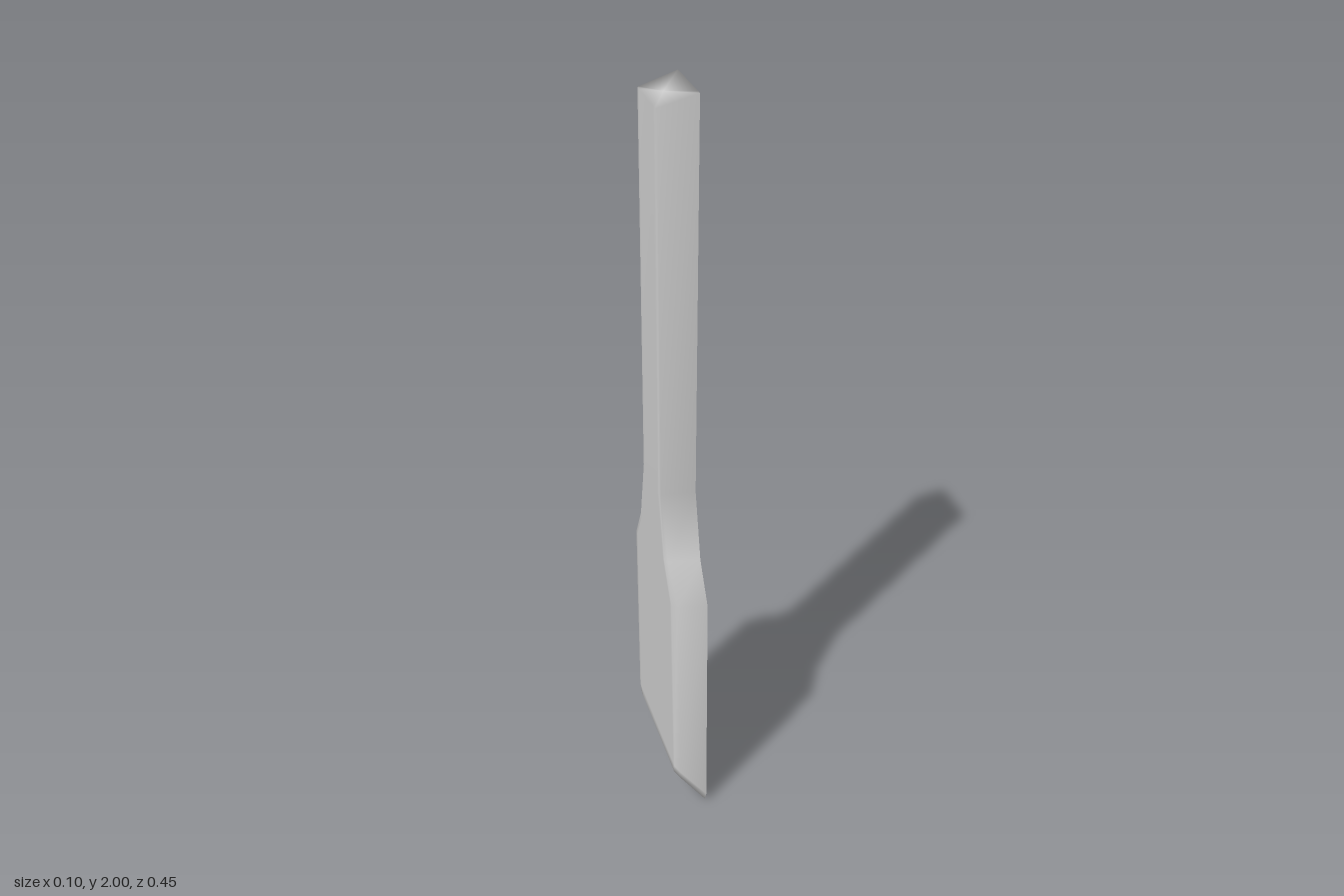
import * as THREE from 'three';

const BACK = 0.05; // plane of the wide flat face

// Each station, bottom to top:
// [y at wide face, y at narrow face, x of narrow face, wide half-width, narrow half-width, chamfer]
const STATIONS = [
  [0.0, 0.09, -0.03, 0.213, 0.176, 0.012],
  [0.03, 0.12, -0.032, 0.226, 0.188, 0.013],
  [0.67, 0.67, -0.04, 0.21, 0.182, 0.013],
  [0.77, 0.77, -0.042, 0.14, 0.12, 0.008],
  [0.95, 0.95, -0.044, 0.09, 0.077, 0.004],
  [2.0, 1.97, -0.051, 0.09, 0.077, 0.004],
];

// Trapezoid outline with an edge strip on the wide face and chamfers on the narrow one
function section([yWide, yNarrow, xNarrow, wide, narrow, chamfer]) {
  const half = [
    [BACK, wide - 0.015],
    [BACK, wide],
    [xNarrow + chamfer, narrow + chamfer],
    [xNarrow, narrow],
    [xNarrow, narrow - 0.015],
  ];
  const outline = [
    ...half.map(([x, z]) => [x, -z]),
    ...half.slice().reverse(),
  ];
  return outline.map(([x, z]) => {
    const t = (BACK - x) / (BACK - xNarrow);
    return new THREE.Vector3(x, yWide + (yNarrow - yWide) * t, z);
  });
}

// Skin a stack of outlines and close both ends
function loft(rings) {
  const n = rings[0].length;
  const points = rings.flat();
  const index = [];
  for (let i = 0; i < rings.length - 1; i++) {
    for (let j = 0; j < n; j++) {
      const k = (j + 1) % n;
      const a = i * n + j, b = i * n + k;
      index.push(a, b, b + n, a, b + n, a + n);
    }
  }
  const cap = (ring, start, up) => {
    const center = new THREE.Vector3();
    ring.forEach((p) => center.addScaledVector(p, 1 / n));
    const c = points.push(center) - 1;
    for (let j = 0; j < n; j++) {
      const a = start + j, b = start + ((j + 1) % n);
      index.push(c, up ? a : b, up ? b : a);
    }
  };
  cap(rings[0], 0, false);
  cap(rings[rings.length - 1], (rings.length - 1) * n, true);

  const geometry = new THREE.BufferGeometry().setFromPoints(points);
  geometry.setIndex(index);
  geometry.computeVertexNormals();
  return geometry;
}

export function createModel() {
  const model = new THREE.Group();
  const material = new THREE.MeshStandardMaterial({ color: 0xcccccc });

  // One continuous body: bevelled blade, flared neck and long shank
  const body = new THREE.Mesh(loft(STATIONS.map(section)), material);
  body.name = 'bladeAndShank';
  model.add(body);
  return model;
}
